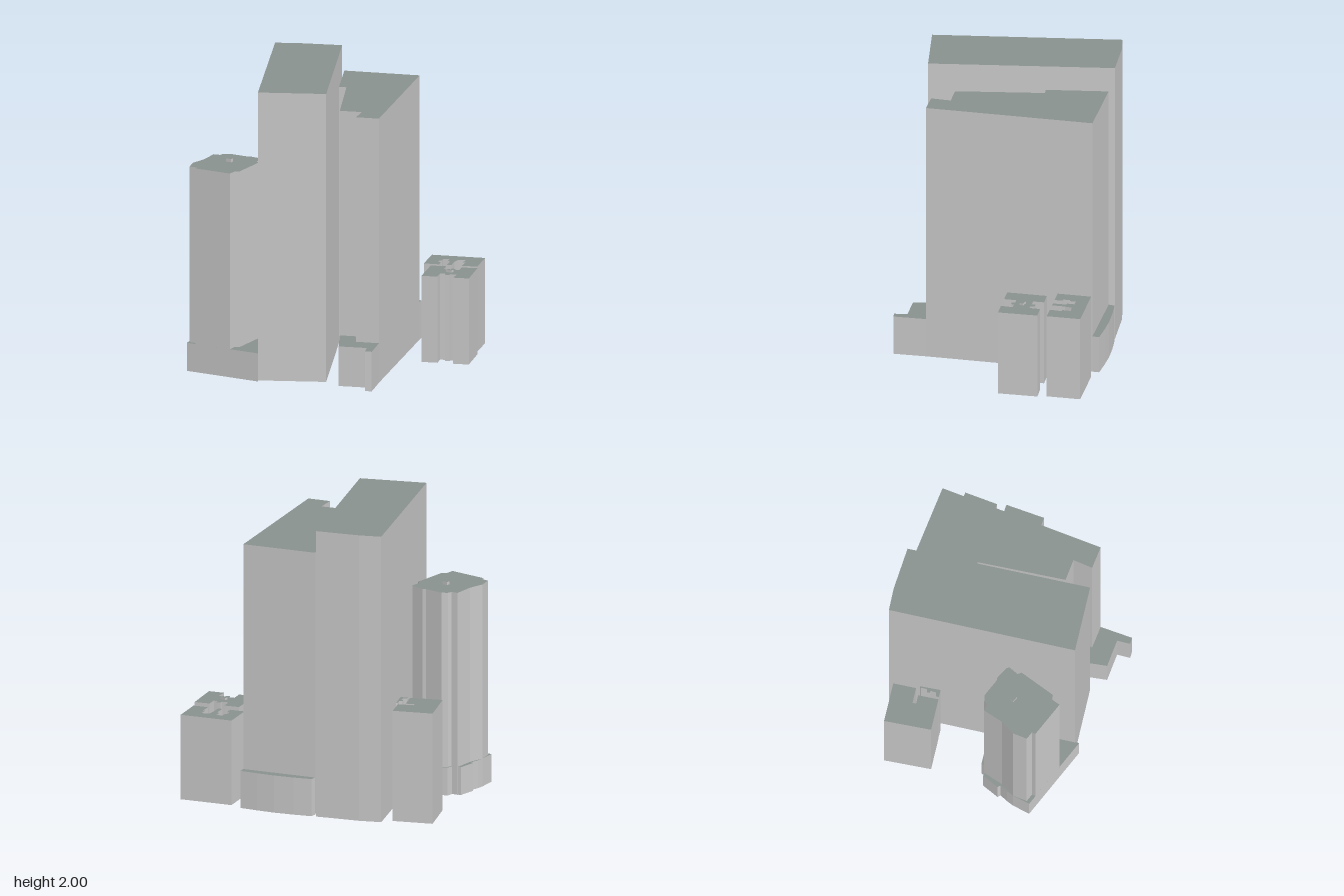
import * as THREE from 'three';

// Blocks are open below, so the insides of walls and roofs show
const wall = new THREE.MeshStandardMaterial({ color: 0xcacaca, side: THREE.DoubleSide });
wall.name = 'light grey wall';
const roof = new THREE.MeshStandardMaterial({ color: 0x89928e, side: THREE.DoubleSide });
roof.name = 'grey green roof';

// Block standing on a plan outline of [x, z] points: outward walls and a flat roof, open below
function block(name, plan, top, base = 0) {
  const pts = plan.map(([x, z]) => new THREE.Vector2(x, -z));
  if (THREE.ShapeUtils.isClockWise(pts)) pts.reverse();

  const pos = [];
  pts.forEach((a, i) => {
    const b = pts[(i + 1) % pts.length];
    pos.push(a.x, base, -a.y, b.x, base, -b.y, b.x, top, -b.y);
    pos.push(a.x, base, -a.y, b.x, top, -b.y, a.x, top, -a.y);
  });
  const sides = new THREE.BufferGeometry();
  sides.setAttribute('position', new THREE.Float32BufferAttribute(pos, 3));
  sides.computeVertexNormals();

  const cap = new THREE.ShapeGeometry(new THREE.Shape(pts));
  cap.rotateX(-Math.PI / 2).translate(0, top, 0);

  const group = new THREE.Group();
  group.name = name;
  const wallMesh = new THREE.Mesh(sides, wall);
  wallMesh.name = name + 'Walls';
  const roofMesh = new THREE.Mesh(cap, roof);
  roofMesh.name = name + 'Roof';
  group.add(wallMesh, roofMesh);
  return group;
}

// Rectangle plan for small rooftop boxes
const rect = (x, z, w, d) => [
  [x - w / 2, z - d / 2], [x + w / 2, z - d / 2], [x + w / 2, z + d / 2], [x - w / 2, z + d / 2],
];

export function createModel() {
  const model = new THREE.Group();
  model.name = 'cityBlock';

  // Two tall slabs side by side
  model.add(block('tallSlab', [
    [-0.64, -0.357], [-0.505, -0.43], [-0.225, -0.543], [0.351, 0.572], [-0.057, 0.783],
  ], 2));
  model.add(block('secondSlab', [
    [-0.19, -0.515], [0.302, -0.68], [0.662, 0.403], [0.513, 0.453], [0.475, 0.322],
    [0.333, 0.372], [0.05, -0.16], [0.003, -0.14],
  ], 1.835));

  // Low annexes at both ends of the second slab
  model.add(block('frontAnnex', [
    [0.333, 0.372], [0.477, 0.615], [0.658, 0.55], [0.697, 0.632], [0.738, 0.613],
    [0.662, 0.403], [0.513, 0.453], [0.475, 0.322],
  ], 0.275));
  model.add(block('backAnnex', [
    [-0.19, -0.515], [-0.197, -0.557], [-0.08, -0.61], [0.05, -0.66], [0.17, -0.695],
    [0.289, -0.725], [0.302, -0.68],
  ], 0.26));

  // Corner tower with its podium and rooftop box
  model.add(block('towerPodium', [
    [-0.575, 0.4], [-0.32, 0.27], [-0.042, 0.807], [-0.59, 0.83], [-0.615, 0.71],
    [-0.617, 0.66], [-0.613, 0.6], [-0.635, 0.59], [-0.635, 0.465], [-0.575, 0.45],
  ], 0.195));
  model.add(block('tower', [
    [-0.615, 0.455], [-0.57, 0.445], [-0.565, 0.415], [-0.53, 0.388], [-0.4, 0.383],
    [-0.375, 0.372], [-0.285, 0.376], [-0.27, 0.39], [-0.272, 0.46], [-0.246, 0.475],
    [-0.233, 0.737], [-0.262, 0.752], [-0.258, 0.816], [-0.523, 0.827], [-0.526, 0.802],
    [-0.585, 0.804], [-0.615, 0.71], [-0.6, 0.6],
  ], 1.415));
  model.add(block('towerRoofBox', rect(-0.425, 0.555, 0.04, 0.025), 1.437, 1.415));

  // Right-hand block with a slot and a narrow detached sliver
  model.add(block('sideBlock', [
    [-0.925, -0.16], [-0.68, -0.285], [-0.607, -0.147], [-0.703, -0.097], [-0.692, -0.075],
    [-0.637, -0.103], [-0.572, 0.02], [-0.77, 0.122],
  ], 0.772));
  model.add(block('sideSliver', [
    [-0.58, -0.135], [-0.512, -0.012], [-0.558, 0.012], [-0.567, -0.008], [-0.545, -0.025],
    [-0.56, -0.06], [-0.575, -0.055], [-0.583, -0.07], [-0.565, -0.085], [-0.585, -0.125],
  ], 0.772));

  // Pair of notched small blocks
  model.add(block('backSmallBlock', [
    [0.377, -0.715], [0.723, -0.835], [0.797, -0.618], [0.698, -0.583], [0.675, -0.665],
    [0.66, -0.655], [0.643, -0.715], [0.596, -0.693], [0.602, -0.645], [0.613, -0.61],
    [0.63, -0.56], [0.6, -0.55], [0.572, -0.637], [0.555, -0.632], [0.54, -0.68],
    [0.497, -0.667], [0.512, -0.628], [0.497, -0.622], [0.512, -0.578], [0.53, -0.583],
    [0.549, -0.531], [0.45, -0.498],
  ], 0.592));
  model.add(block('frontSmallBlock', [
    [0.53, -0.46], [0.628, -0.497], [0.653, -0.425], [0.698, -0.441], [0.69, -0.466],
    [0.718, -0.475], [0.727, -0.45], [0.755, -0.458], [0.733, -0.527], [0.832, -0.566],
    [0.923, -0.313], [0.823, -0.276], [0.8, -0.355], [0.76, -0.341], [0.765, -0.32],
    [0.738, -0.31], [0.728, -0.333], [0.693, -0.318], [0.72, -0.24], [0.617, -0.203],
  ], 0.598));
  model.add(block('smallRoofBox', rect(0.725, -0.388, 0.04, 0.025), 0.613, 0.598));

  return model;
}
